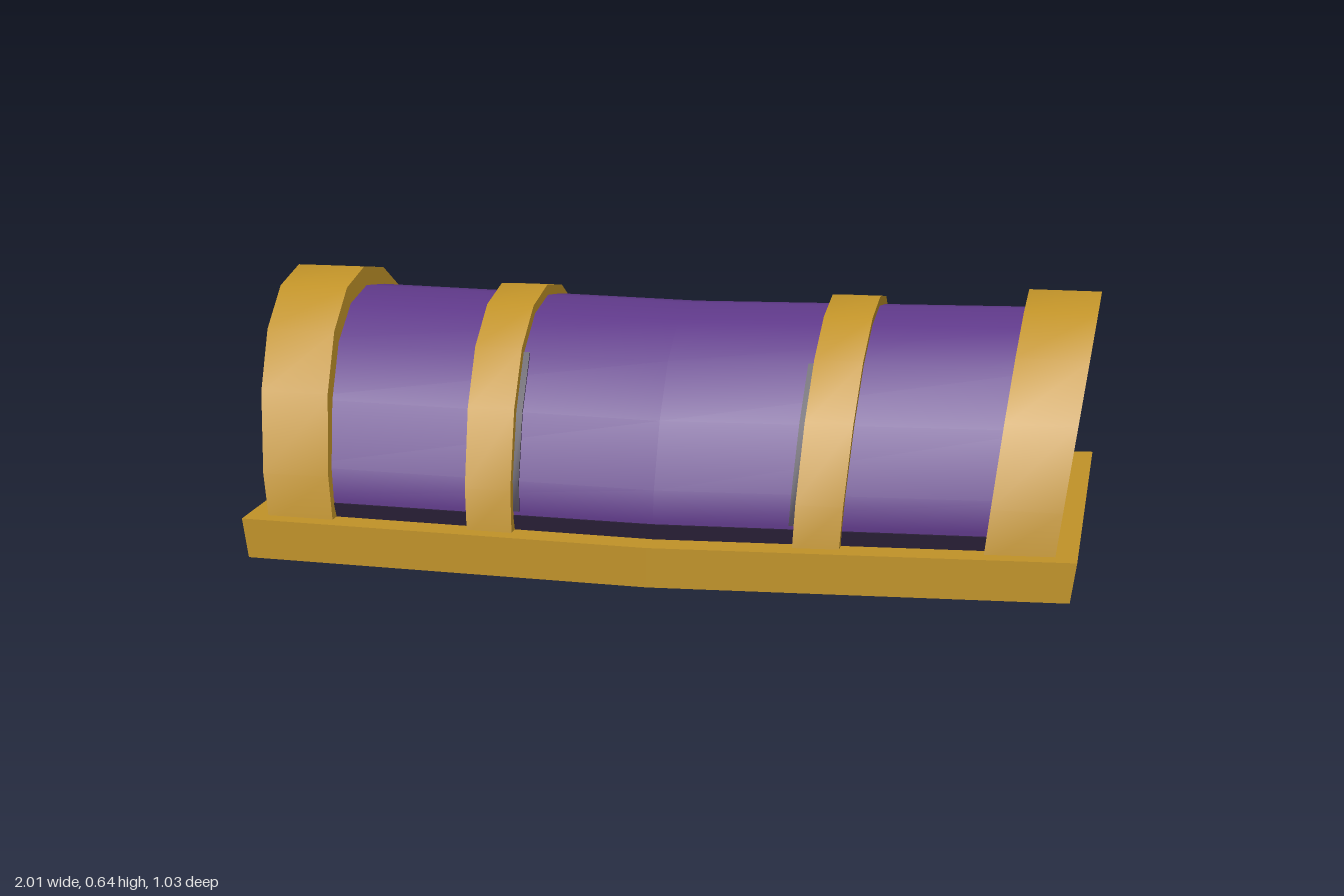
import * as THREE from 'three';
import { toCreasedNormals } from 'three/addons/utils/BufferGeometryUtils.js';

const gold = new THREE.MeshStandardMaterial({ color: 0xc09228 });
gold.name = 'gold trim';
const purple = new THREE.MeshStandardMaterial({ color: 0x5f3989 });
purple.name = 'purple panel';
const dark = new THREE.MeshStandardMaterial({ color: 0x2b2038 });
dark.name = 'dark gap';

// Half arches as [z, y], from the foot to the crown
const endOuter = [[0.475, 0.09], [0.46, 0.212], [0.386, 0.395], [0.28, 0.527], [0.147, 0.61], [0, 0.637]];
const endInner = [[0.362, 0.09], [0.352, 0.19], [0.301, 0.315], [0.216, 0.42], [0.115, 0.485], [0, 0.507]];
const midOuter = [[0.475, 0.09], [0.46, 0.2], [0.381, 0.377], [0.277, 0.503], [0.145, 0.581], [0, 0.607]];
const barrelArch = [[0.435, 0.09], [0.444, 0.14], [0.43, 0.21], [0.36, 0.36], [0.26, 0.482], [0.135, 0.554], [0, 0.575]];

const scaled = (pts, s) => pts.map(([z, y]) => [z * s, 0.1 + (y - 0.1) * s]);
// Complete a half arch by mirroring it across z = 0
const fullArch = (half) => [...half, ...half.slice(0, -1).reverse().map(([z, y]) => [-z, y])];

// Extrude a [z, y] outline from x0 to x1; splay it outward with height, lift it toward the ends
function slab(name, outline, x0, x1, material, lift = 0, steps = 1) {
  const shape = new THREE.Shape(outline.map(([z, y]) => new THREE.Vector2(z, y)));
  let geo = new THREE.ExtrudeGeometry(shape, { depth: x1 - x0, steps, bevelEnabled: false });
  geo.translate(0, 0, x0);
  geo.rotateY(Math.PI / 2);
  const p = geo.attributes.position;
  for (let i = 0; i < p.count; i++) {
    const x = p.getX(i), y = p.getY(i);
    p.setX(i, x * (1 + 0.145 * (y - 0.11)));
    p.setY(i, y + lift * Math.abs(x));
  }
  geo = toCreasedNormals(geo, 0.6);
  const mesh = new THREE.Mesh(geo, material);
  mesh.name = name;
  return mesh;
}

export function createModel() {
  const model = new THREE.Group();
  model.name = 'chestLid';

  // Rectangular rim, slightly bowed
  const rim = [[-0.515, 0], [0.515, 0], [0.515, 0.095], [-0.515, 0.095]];
  model.add(slab('rim', rim, -0.985, 0.985, gold, 0.019, 2));

  // Vaulted panel and the dark gap along its foot
  model.add(slab('vault', fullArch(barrelArch), -0.87, 0.87, purple, 0.019, 2));
  const foot = [[-0.44, 0.085], [0.44, 0.085], [0.448, 0.132], [-0.448, 0.132]];
  model.add(slab('footGap', foot, -0.78, 0.78, dark, 0.015, 2));

  // Thin dark gap that follows the lower vault beside each middle band
  const gapHalf = barrelArch.slice(1, 5);
  const gap = [...scaled(gapHalf, 1.008), ...scaled(gapHalf, 0.985).reverse()];

  for (const side of [-1, 1]) {
    const span = (a, b) => (side > 0 ? [a, b] : [-b, -a]);
    const label = side > 0 ? 'left' : 'right';

    // Wide end band, open in the middle so the end panel sits recessed
    const endArch = [...fullArch(endOuter), ...fullArch(endInner).reverse()];
    model.add(slab(label + 'EndBand', endArch, ...span(0.772, 0.932), gold));

    // Narrow middle band
    model.add(slab(label + 'MiddleBand', fullArch(midOuter), ...span(0.333, 0.442), gold));

    for (const zSide of [-1, 1]) {
      const outline = gap.map(([z, y]) => [z * zSide, y]);
      model.add(slab(label + 'BandGap', outline, ...span(0.319, 0.334), dark, 0.019));
    }
  }
  return model;
}
